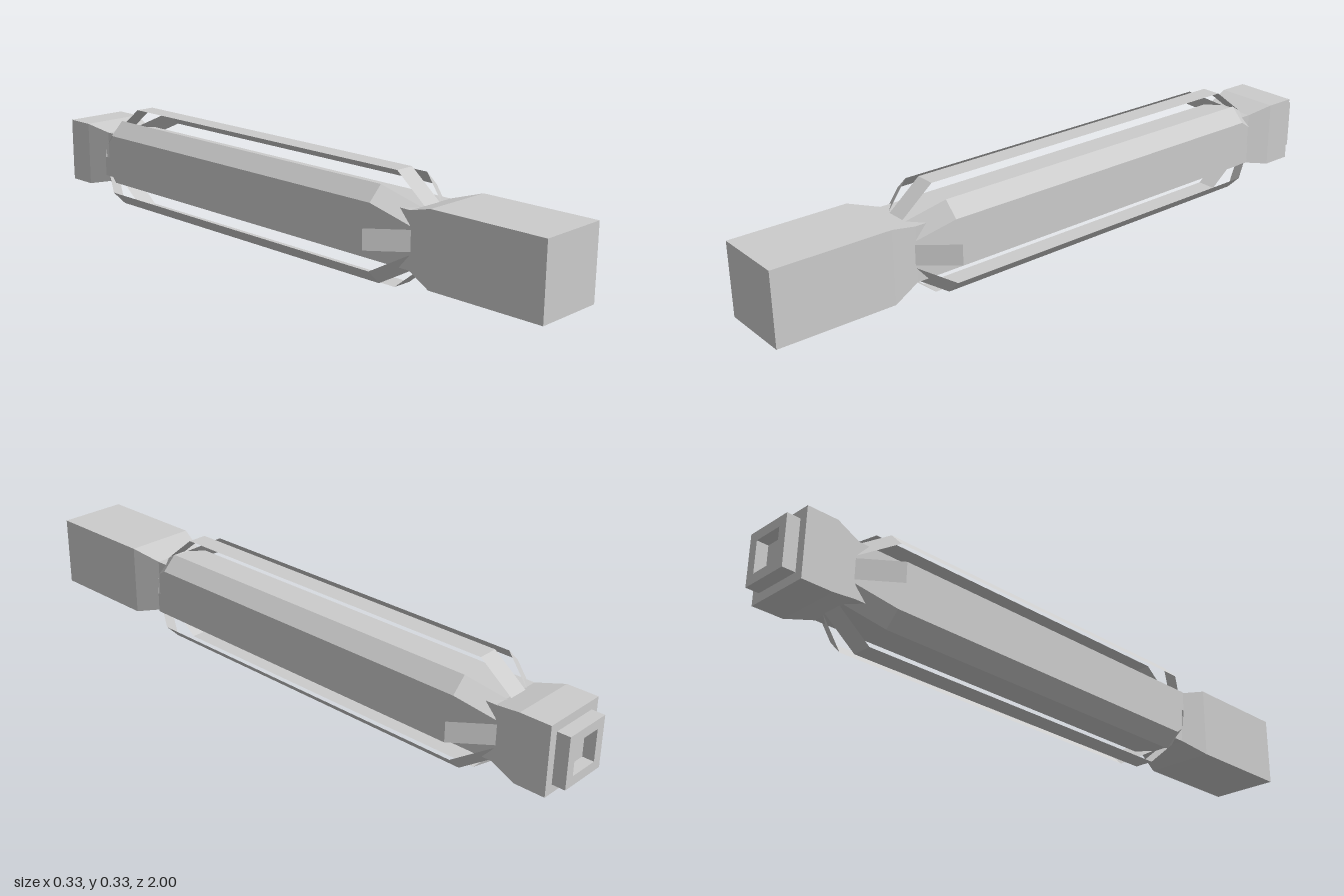
import * as THREE from 'three';

const CENTER_Y = 0.167;

function material(extra = {}) {
  return new THREE.MeshStandardMaterial({ color: 0xcccccc, flatShading: true, ...extra });
}

// Square-section body along z from [halfWidth, z] pairs, listed back to front
function squareBody(name, profile) {
  const points = profile.map(([half, z]) => new THREE.Vector2(half * Math.SQRT2, z));
  const geometry = new THREE.LatheGeometry(points, 4, Math.PI / 4);
  geometry.rotateX(Math.PI / 2);
  const mesh = new THREE.Mesh(geometry, material());
  mesh.name = name;
  return mesh;
}

// Thin strip that follows [radius, z] pairs, bent down at both ends
function stripGeometry(path, halfWidth) {
  const geometry = new THREE.PlaneGeometry(2 * halfWidth, 1, 1, path.length - 1);
  const position = geometry.attributes.position;
  for (let i = 0; i < position.count; i++) {
    const [radius, z] = path[Math.floor(i / 2)];
    position.setY(i, radius);
    position.setZ(i, z);
  }
  geometry.computeVertexNormals();
  return geometry;
}

export function createModel() {
  const model = new THREE.Group();
  model.name = 'cagedHandle';

  const assembly = new THREE.Group();
  assembly.name = 'assembly';
  assembly.position.y = CENTER_Y;
  model.add(assembly);

  // Front block with its tapered neck
  assembly.add(squareBody('frontBlock', [[0.084, 0.55], [0.111, 0.64], [0.111, 1], [0, 1]]));

  // Square core between the two ends
  assembly.add(squareBody('core', [[0.084, -0.78], [0.084, 0.55]]));

  // Rear block with its neck, stepped cap and square socket
  assembly.add(squareBody('rearBlock', [
    [0, -0.965], [0.048, -0.965], [0.048, -1], [0.077, -1], [0.077, -0.96],
    [0.104, -0.96], [0.104, -0.865], [0.084, -0.78],
  ]));

  // Eight raised strips around the core
  const geometry = stripGeometry([[0.085, -0.79], [0.167, -0.685], [0.167, 0.455], [0.085, 0.555]], 0.031);
  const stripMaterial = material({ side: THREE.DoubleSide });
  for (let i = 0; i < 8; i++) {
    const strip = new THREE.Mesh(geometry, stripMaterial);
    strip.name = `gripStrip${i + 1}`;
    strip.rotation.z = (i * Math.PI) / 4;
    assembly.add(strip);
  }

  return model;
}
